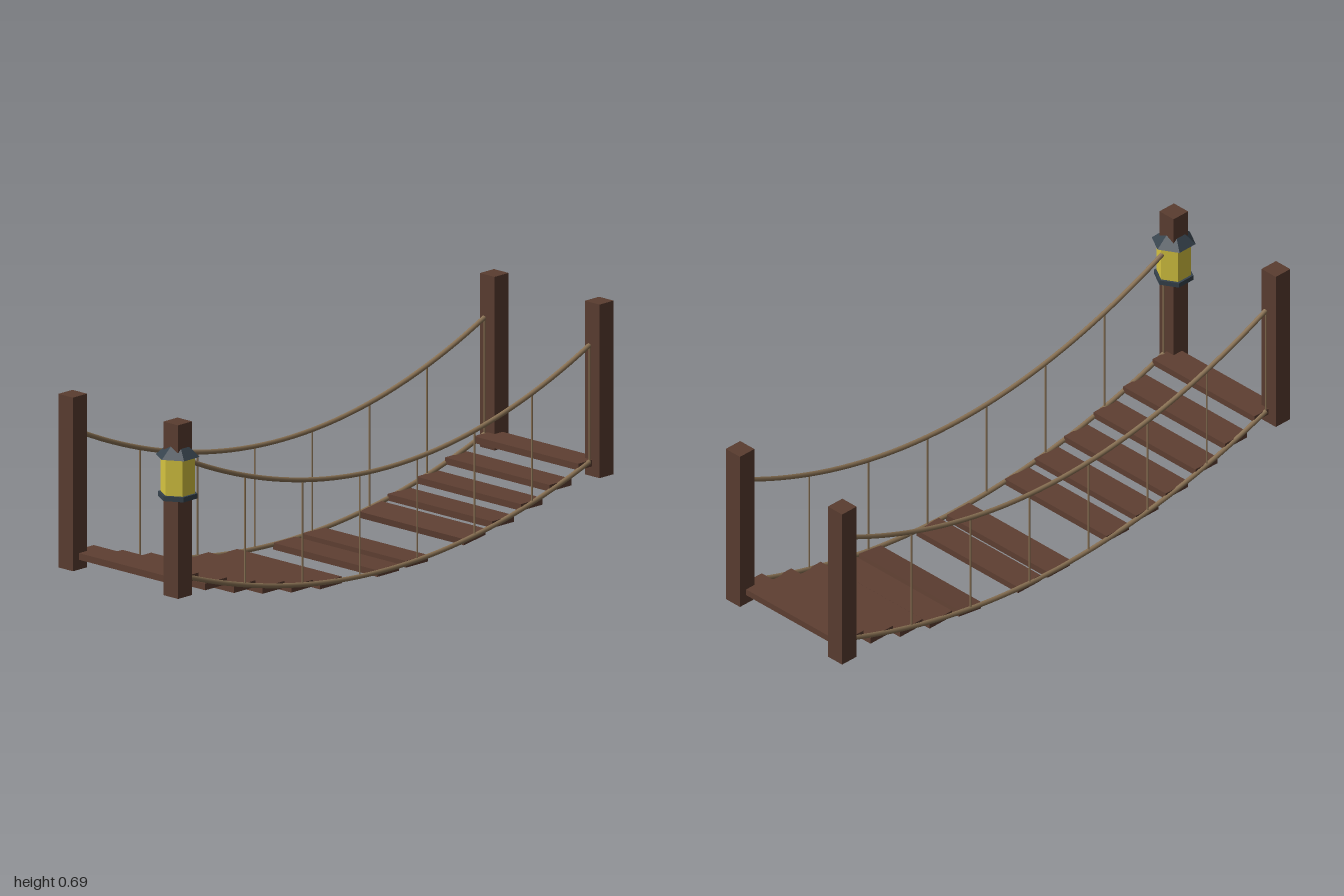
import * as THREE from 'three';

const CX = 0.0175, CZ = -0.0155;      // centre of the bridge span
const HALF = 0.903, SIDE = 0.2265;    // half length of the ropes, half distance between them

const mat = (name, color, extra = {}) => new THREE.MeshStandardMaterial({ name, color, ...extra });

// Heights of the sagging deck, lower rope and hand rope
const deckY = x => 0.0118 + 0.1945 * x * x;
const lowerY = x => 0.016 + 0.198 * x * x;
const railY = x => 0.347 + 0.255 * x * x;

export function createModel() {
  const postWood = mat('post wood', 0x5a3d30);
  const plankWood = mat('plank wood', 0x5e3f32);
  const rope = mat('rope', 0x8b7355, { side: THREE.DoubleSide });
  const metal = mat('lantern metal', 0x36424c);
  const glass = mat('lantern glass', 0xd6c440);

  const model = new THREE.Group();
  model.name = 'ropeBridge';
  const bridge = new THREE.Group();
  bridge.name = 'bridge';
  bridge.position.set(CX, 0, CZ);
  model.add(bridge);

  const add = (parent, name, geometry, material, x, y, z) => {
    const mesh = new THREE.Mesh(geometry, material);
    mesh.name = name;
    mesh.position.set(x, y, z);
    parent.add(mesh);
    return mesh;
  };

  // Planks, with two missing and one knocked askew
  const plank = new THREE.BoxGeometry(0.098, 0.0215, 0.451);
  for (let i = 0; i < 15; i++) {
    if (i === 6 || i === 9) continue;
    const x = -HALF + i * HALF / 7;
    const mesh = add(bridge, 'plank', plank, plankWood, x, deckY(x), 0);
    if (i === 10) mesh.rotation.z = 0.147;
  }

  // Sagging rope as a tube along its height rule
  const ropeGeometry = heightAt => {
    const points = [];
    for (let i = 0; i <= 20; i++) {
      const x = -HALF + i * HALF / 10;
      points.push(new THREE.Vector3(x, heightAt(x), 0));
    }
    return new THREE.TubeGeometry(new THREE.CatmullRomCurve3(points), 40, 0.0078, 8);
  };
  const lowerRope = ropeGeometry(lowerY), handRope = ropeGeometry(railY);
  const post = new THREE.BoxGeometry(0.063, 0.562, 0.063);

  for (const side of [-1, 1]) {
    const z = side * SIDE;
    add(bridge, 'lowerRope', lowerRope, rope, 0, 0, z);
    add(bridge, 'handRope', handRope, rope, 0, 0, z);

    // Thin hangers between the two ropes
    for (let k = 0; k < 8; k++) {
      const x = -HALF + k * HALF * 2 / 7;
      const low = lowerY(x), high = railY(x);
      const hanger = new THREE.CylinderGeometry(0.003, 0.003, high - low, 6);
      add(bridge, 'hangerRope', hanger, rope, x, (low + high) / 2, z);
    }

    // Corner posts
    for (const end of [-1, 1]) add(bridge, 'post', post, postWood, end * 0.9475, 0.409, z);
  }

  // Six-sided lantern wrapped around one front post
  const lantern = new THREE.Group();
  lantern.name = 'lantern';
  lantern.position.set(-0.9475, 0, SIDE);
  bridge.add(lantern);
  const hex = (name, top, bottom, y0, y1, material) => {
    const geometry = new THREE.CylinderGeometry(top, bottom, y1 - y0, 6).rotateY(Math.PI / 6).toNonIndexed();
    geometry.computeVertexNormals();
    add(lantern, name, geometry, material, 0, (y0 + y1) / 2, 0);
  };
  hex('lanternBase', 0.0634, 0.0634, 0.445, 0.461, metal);
  hex('lanternGlass', 0.055, 0.055, 0.461, 0.58, glass);
  hex('lanternRoof', 0, 0.071, 0.58, 0.643, metal);

  return model;
}
